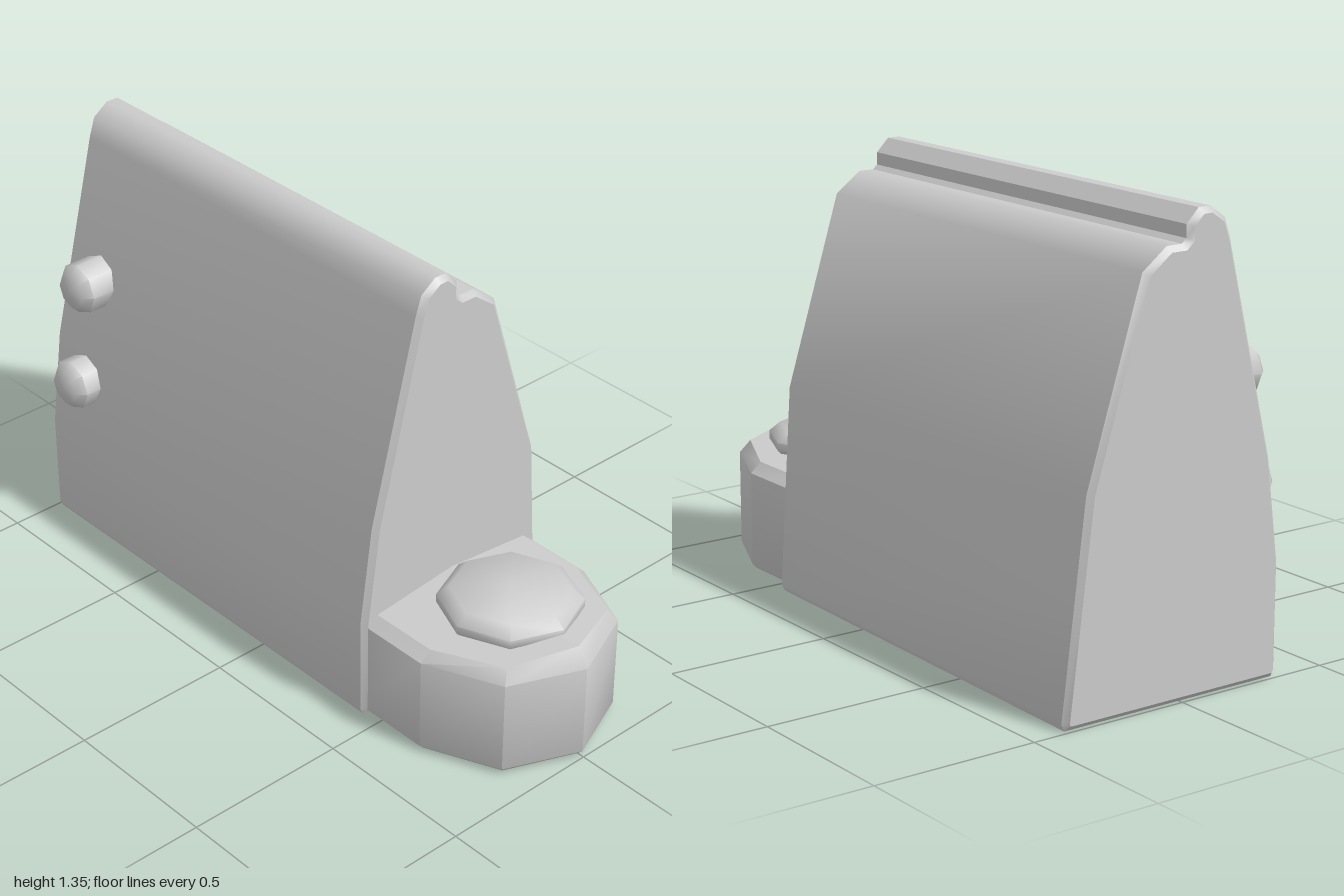
import * as THREE from 'three';
import { toCreasedNormals } from 'three/addons/utils/BufferGeometryUtils.js';

const material = new THREE.MeshStandardMaterial({ color: 0xcccccc });

function part(name, geometry, crease) {
  const mesh = new THREE.Mesh(toCreasedNormals(geometry, crease), material);
  mesh.name = name;
  return mesh;
}

// Wedge-shaped body: a side profile (z, y) extruded along x with a small bevel
function bodyGeometry() {
  const profile = [
    [0.33, 0], [0.34, 0.02], [0.34, 0.33], [0.3, 0.63], [0.145, 1.25], [0.125, 1.31],
    [0.075, 1.345], [0.035, 1.345], [-0.005, 1.305], [-0.005, 1.268], [-0.02, 1.255],
    [-0.07, 1.255], [-0.15, 1.195], [-0.325, 0.63], [-0.362, 0.33], [-0.4, 0.02], [-0.39, 0],
  ];
  const shape = new THREE.Shape(profile.map(([z, y]) => new THREE.Vector2(-z, y)));
  const bevel = 0.016, length = 1.455;
  const g = new THREE.ExtrudeGeometry(shape, {
    depth: length - 2 * bevel, bevelThickness: bevel, bevelSize: bevel,
    bevelOffset: -bevel, bevelSegments: 1,
  });
  g.rotateY(Math.PI / 2).translate(-1 + bevel, 0, 0);
  // the lower back tapers inward towards the toe
  const p = g.attributes.position;
  for (let i = 0; i < p.count; i++) {
    if (p.getZ(i) < 0 && p.getY(i) < 0.63) {
      const t = (p.getX(i) + 1) / length;
      p.setZ(i, p.getZ(i) + 0.037 * t * (1 - p.getY(i) / 0.63));
    }
  }
  return g;
}

// Toe outline, inset by d, at a height given by a number or a function of z
function toeRing(d, height) {
  const half = [[0.4, 0.325 - d], [0.67, 0.325 - d], [0.9 - 0.6 * d, 0.225 - 0.75 * d]];
  const outline = [
    [0.4, 0], ...half, [0.995 - d, 0],
    ...half.map(([x, z]) => [x, -z]).reverse(),
  ];
  return outline.map(([x, z]) => [x, typeof height === 'function' ? height(z) : height, z]);
}

function fromTriangles(triangles) {
  const g = new THREE.BufferGeometry();
  g.setAttribute('position', new THREE.Float32BufferAttribute(triangles.flat(2), 3));
  return g;
}

function loft(rings) {
  const triangles = [];
  for (let r = 0; r < rings.length - 1; r++) {
    const a = rings[r], b = rings[r + 1];
    a.forEach((_, i) => {
      const j = (i + 1) % a.length;
      triangles.push([a[i], a[j], b[j]], [a[i], b[j], b[i]]);
    });
  }
  return fromTriangles(triangles);
}

// Fan from the first ring point, which leaves an edge along the ridge
function cap(ring, down) {
  const triangles = [];
  for (let i = 1; i < ring.length - 1; i++) {
    triangles.push(down ? [ring[0], ring[i + 1], ring[i]] : [ring[0], ring[i], ring[i + 1]]);
  }
  return fromTriangles(triangles);
}

// Eight-sided turned part
function turned(points) {
  return new THREE.LatheGeometry(points.map(([r, y]) => new THREE.Vector2(r, y)), 8);
}

export function createModel() {
  const model = new THREE.Group();
  model.add(part('body', bodyGeometry(), 0.7));

  // Toe block with chamfered rims and a shallow ridged top
  const toe = new THREE.Group();
  toe.name = 'toe';
  const bottom = toeRing(0.015, 0.003), low = toeRing(0, 0.018), high = toeRing(0, 0.31);
  const top = toeRing(0.035, (z) => 0.37 - 0.1 * Math.abs(z));
  toe.add(
    part('toeWall', loft([bottom, low, high, top]), 0.84),
    part('toeTop', cap(top, false), 0.1),
    part('toeBottom', cap(bottom, true), 0.1),
  );
  model.add(toe);

  // Domed button on the toe
  const button = part('button', turned([
    [0, 0.32], [0.18, 0.33], [0.21, 0.36], [0.21, 0.385], [0.175, 0.415], [0, 0.43],
  ]), 0.85);
  button.position.set(0.685, 0, -0.007);
  model.add(button);

  // Two pegs on the front face
  [['upperPeg', 0.85, 0.355], ['lowerPeg', 0.53, 0.4]].forEach(([name, y, tip]) => {
    const peg = part(name, turned([
      [0, -0.16], [0.08, -0.16], [0.08, -0.037], [0.055, -0.01], [0, 0],
    ]), 0.85);
    peg.rotation.x = Math.PI / 2;
    peg.position.set(-0.85, y, tip);
    model.add(peg);
  });

  return model;
}
